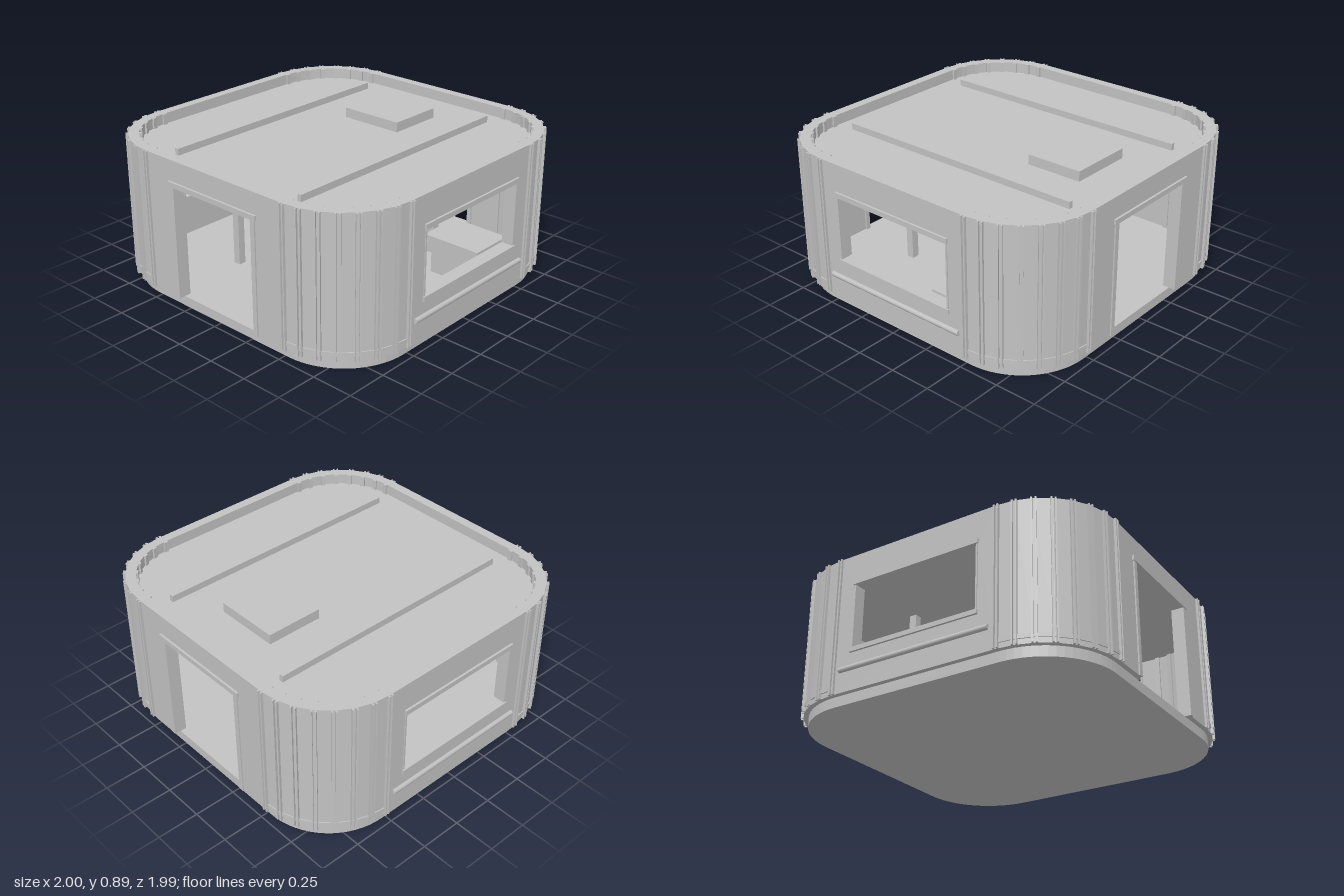
import * as THREE from 'three';

const STEPS = 7;      // flat panels in each rounded corner
const CENTRE = 0.525; // corner arc centre
const FLOOR = 0.06, TOP = 0.895;
const OUTER = 0.98, INNER = 0.92;

export function createModel() {
  const root = new THREE.Group();
  root.name = 'pavilion';
  const grey = new THREE.MeshStandardMaterial({ color: 0xc2c2c2 });
  grey.name = 'plain grey';

  const add = (parent, name, geometry) => {
    const mesh = new THREE.Mesh(geometry, grey);
    mesh.name = name;
    parent.add(mesh);
    return mesh;
  };
  // Box given by its minimum and maximum along each axis
  const box = (parent, name, x0, x1, y0, y1, z0, z1) => {
    const g = new THREE.BoxGeometry(x1 - x0, y1 - y0, z1 - z0);
    g.translate((x0 + x1) / 2, (y0 + y1) / 2, (z0 + z1) / 2);
    return add(parent, name, g);
  };
  // Plan outline raised from y0 to y1
  const raise = (points, y0, y1) => {
    const g = new THREE.ExtrudeGeometry(new THREE.Shape(points), { depth: y1 - y0, bevelEnabled: false });
    g.rotateX(-Math.PI / 2);
    return g.translate(0, y0, 0);
  };
  const arc = (r, steps, start = 0, c = CENTRE) => {
    const pts = [];
    for (let i = 0; i <= steps; i++) {
      const a = start + (i / steps) * Math.PI / 2;
      pts.push(new THREE.Vector2(
        c * Math.sign(Math.cos(start + Math.PI / 4)) + r * Math.cos(a),
        c * Math.sign(Math.sin(start + Math.PI / 4)) + r * Math.sin(a)));
    }
    return pts;
  };
  const roundedSquare = (half, steps) =>
    [0, 1, 2, 3].flatMap(k => arc(half - CENTRE, steps, k * Math.PI / 2));

  // Floor plinth and sunken roof deck
  add(root, 'plinth', raise(roundedSquare(0.95, 16), 0, FLOOR));
  add(root, 'roofDeck', raise(roundedSquare(0.93, STEPS), 0.78, 0.83));

  // Rooftop beams and hatch
  for (const s of [-1, 1]) {
    box(root, 'roofBeam', s * 0.475 - 0.013, s * 0.475 + 0.013, 0.82, 0.87, -0.805, 0.805);
  }
  box(root, 'roofHatch', -0.2, 0.2, 0.82, 0.89, -0.65, -0.3);

  // Front and back walls with framed doorways
  const doorOutline = [
    [-CENTRE, FLOOR], [-0.31, FLOOR], [-0.31, 0.75], [0.31, 0.75],
    [0.31, FLOOR], [CENTRE, FLOOR], [CENTRE, TOP], [-CENTRE, TOP],
  ].map(p => new THREE.Vector2(...p));
  for (const turn of [0, Math.PI]) {
    const side = new THREE.Group();
    side.name = turn ? 'backWall' : 'frontWall';
    side.rotation.y = turn;
    root.add(side);
    const wall = new THREE.ExtrudeGeometry(new THREE.Shape(doorOutline), { depth: OUTER - INNER, bevelEnabled: false });
    add(side, 'doorWall', wall.translate(0, 0, INNER));
    for (const s of [-1, 1]) {
      box(side, 'doorJamb', s * 0.315 - 0.015, s * 0.315 + 0.015, FLOOR, 0.74, 0.91, 0.988);
    }
    box(side, 'doorLintel', -0.34, 0.34, 0.74, 0.77, 0.91, 0.993);
  }

  // Side walls with framed windows and a low rail
  for (const turn of [Math.PI / 2, -Math.PI / 2]) {
    const side = new THREE.Group();
    side.name = turn > 0 ? 'leftWall' : 'rightWall';
    side.rotation.y = turn;
    root.add(side);
    const rect = (x, y0, y1) => [[-x, y0], [x, y0], [x, y1], [-x, y1]].map(p => new THREE.Vector2(...p));
    const shape = new THREE.Shape(rect(CENTRE, FLOOR, TOP));
    shape.holes.push(new THREE.Path(rect(0.408, 0.3, 0.71).reverse()));
    const wall = new THREE.ExtrudeGeometry(shape, { depth: OUTER - INNER, bevelEnabled: false });
    add(side, 'windowWall', wall.translate(0, 0, INNER));
    for (const s of [-1, 1]) {
      box(side, 'windowJamb', s * 0.405 - 0.005, s * 0.405 + 0.005, 0.31, 0.7, 0.91, 0.985);
    }
    box(side, 'windowLintel', -0.415, 0.415, 0.7, 0.73, 0.91, 0.993);
    box(side, 'windowSill', -0.415, 0.415, 0.285, 0.312, 0.91, 0.993);
    const rail = new THREE.CylinderGeometry(0.016, 0.016, 0.96, 8);
    rail.rotateZ(Math.PI / 2).translate(0, 0.193, 0.984);
    add(side, 'lowRail', rail);
  }

  // Faceted corners with paired outer battens and single inner battens
  const ro = OUTER - CENTRE, ri = INNER - CENTRE;
  for (let k = 0; k < 4; k++) {
    const corner = new THREE.Group();
    corner.name = 'corner';
    corner.rotation.y = k * Math.PI / 2;
    root.add(corner);
    add(corner, 'cornerPanels', raise([...arc(ro, STEPS), ...arc(ri, STEPS).reverse()], FLOOR, TOP));
    add(corner, 'cornerSkirting',
      raise([...arc(ro + 0.006, STEPS), ...arc(ro - 0.01, STEPS).reverse()], 0.09, 0.115));
    for (let i = 0; i <= STEPS; i++) {
      const joint = new THREE.Group();
      joint.name = 'panelJoint';
      joint.position.set(CENTRE, 0, -CENTRE);
      joint.rotation.y = (i / STEPS) * Math.PI / 2;
      corner.add(joint);
      for (const s of [-1, 1]) {
        box(joint, 'outerBatten', ro - 0.015, ro + 0.014, FLOOR, TOP, s * 0.011 - 0.005, s * 0.011 + 0.005);
      }
      box(joint, 'innerBatten', ri - 0.013, ri + 0.01, FLOOR, TOP, -0.014, 0.014);
    }
  }

  // Four interior posts
  for (const x of [-0.38, 0.38]) {
    for (const z of [-0.45, 0.45]) {
      box(root, 'post', x - 0.023, x + 0.023, FLOOR, 0.78, z - 0.023, z + 0.023);
    }
  }

  // Interior counter beside the left window
  box(root, 'counterBody', 0.54, 0.86, FLOOR, 0.275, -0.46, -0.23);
  box(root, 'counterTop', 0.51, 0.885, 0.275, 0.305, -0.49, -0.2);

  return root;
}
